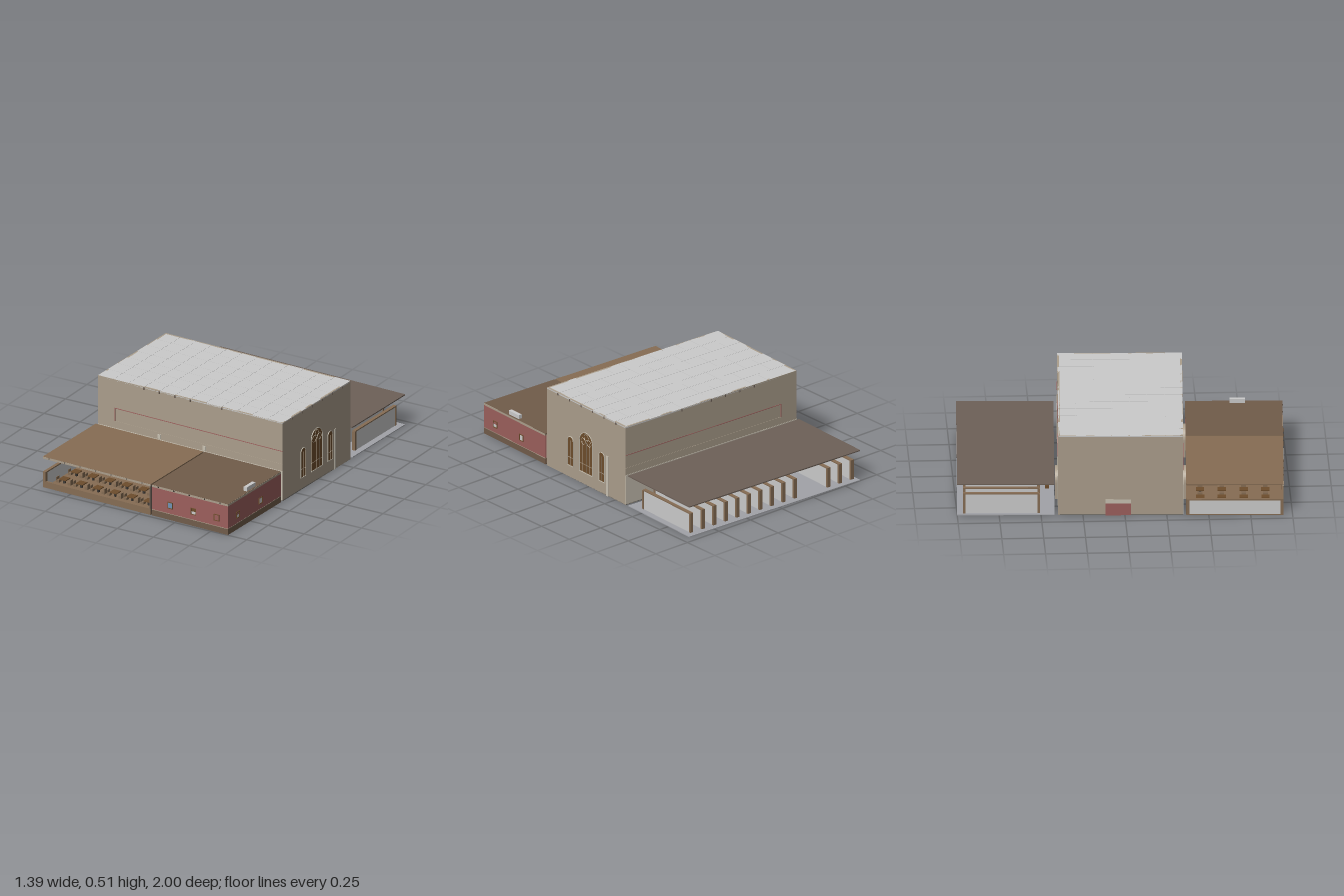
import * as THREE from 'three';

const C = {
  stone: 0xab9e8c, pale: 0xc8c1b2, red: 0x9c5f5c, brown: 0x866d54, darkBrown: 0x715c4a,
  slate: 0x6e6158, grey: 0xcccccc, wood: 0x6e4d2c, dark: 0x3f3a35, floor: 0x77736c, blue: 0x6f93b5,
};
const mats = {};
const mat = (c) => (mats[c] ??= new THREE.MeshStandardMaterial({ color: c, side: THREE.DoubleSide, flatShading: true }));

function add(parent, name, geo, color, x = 0, y = 0, z = 0) {
  const m = new THREE.Mesh(geo, mat(color));
  m.name = name;
  m.position.set(x, y, z);
  parent.add(m);
  return m;
}

// Box given by its lower and upper corners
function box(parent, name, color, x0, x1, y0, y1, z0, z1) {
  return add(parent, name, new THREE.BoxGeometry(x1 - x0, y1 - y0, z1 - z0), color,
    (x0 + x1) / 2, (y0 + y1) / 2, (z0 + z1) / 2);
}

// Round-headed outline standing on y0, centred on cx
function arch(P, cx, w, y0, top) {
  const r = w / 2, p = new P();
  p.moveTo(cx - r, y0);
  p.lineTo(cx + r, y0);
  p.lineTo(cx + r, top - r);
  p.absarc(cx, top - r, r, 0, Math.PI, false);
  p.lineTo(cx - r, y0);
  return p;
}

function rect(P, x0, x1, y0, y1) {
  const p = new P();
  p.moveTo(x0, y0);
  p.lineTo(x1, y0);
  p.lineTo(x1, y1);
  p.lineTo(x0, y1);
  p.closePath();
  return p;
}

const extrude = (shape, depth) => new THREE.ExtrudeGeometry(shape, { depth, bevelEnabled: false, curveSegments: 14 });

function group(parent, name) {
  const g = new THREE.Group();
  g.name = name;
  parent.add(g);
  return g;
}

// Tall hall with arched doors, roof panels and an arched window wall
function buildHall(root) {
  const g = group(root, 'hall');
  const X = 0.656, Z = 0.373, H = 0.51, T = 0.012;
  box(g, 'hallFloor', C.floor, -X, X, 0, 0.006, -Z, Z);
  box(g, 'hallRoof', C.grey, -X, X, H - 0.008, H - 0.001, -Z, Z);
  const nx = 12, nz = 7, px = 2 * X / nx, pz = 2 * Z / nz;
  for (let i = 0; i < nx; i++) for (let j = 0; j < nz; j++) {
    box(g, 'roofPanel', C.grey, -X + i * px + 0.001, -X + (i + 1) * px - 0.001, H - 0.002, H,
      -Z + j * pz + 0.001, -Z + (j + 1) * pz - 0.001);
  }

  // Long walls: s = 1 front, s = -1 back
  for (const s of [1, -1]) {
    const doors = s > 0 ? [-0.33, 0.325] : [-0.325];
    const wall = rect(THREE.Shape, -X, X, 0, H);
    const lower = rect(THREE.Shape, -X, X, 0.006, 0.195);
    for (const d of doors) {
      wall.holes.push(arch(THREE.Path, d, 0.14, 0.006, 0.175));
      lower.holes.push(arch(THREE.Path, d, 0.14, 0.0065, 0.175));
      const ring = arch(THREE.Shape, d, 0.156, 0, 0.183);
      ring.holes.push(arch(THREE.Path, d, 0.136, 0.006, 0.173));
      add(g, 'doorPassage', extrude(ring, 0.018), C.stone, 0, 0, s > 0 ? Z : -Z - 0.018);
    }
    add(g, 'longWall', extrude(wall, T), C.stone, 0, 0, s > 0 ? Z - T : -Z);
    add(g, 'lowerWall', extrude(lower, 0.002), C.pale, 0, 0, s > 0 ? Z : -Z - 0.002);
    // Thin string lines framing the upper wall
    const a = s * Z - 0.002, b = s * Z + 0.002;
    box(g, 'stringLine', C.red, -0.535, X, 0.322, 0.326, a, b);
    box(g, 'stringLine', C.stone, -0.535, X, 0.238, 0.241, a, b);
    box(g, 'stringLine', C.red, -0.537, -0.533, 0.24, 0.326, a, b);
    for (const x of [-0.33, -0.22, -0.11, 0, 0.225])
      box(g, 'beamEnd', C.slate, x - 0.004, x + 0.004, H - 0.018, H - 0.002, a, b);
  }
  for (const x of [-0.22, 0.1]) box(g, 'wallLight', C.pale, x - 0.012, x + 0.012, 0.2, 0.228, Z, Z + 0.004);

  // End walls
  box(g, 'rightEndWall', C.stone, X - T, X, 0, H, -Z, Z);
  box(g, 'leftEndWall', C.stone, -X, -X + T, 0, H, -Z, Z);
  box(g, 'sideDoor', C.red, -X - 0.004, -X, 0, 0.075, -0.09, 0.06);
  box(g, 'sideDoorHead', C.pale, -X - 0.004, -X, 0.075, 0.1, -0.09, 0.06);
  box(g, 'pilaster', C.pale, X, X + 0.004, 0, 0.26, -0.21, -0.19);
  for (let i = 0; i < 6; i++) {
    const z = -0.28 + i * 0.11;
    box(g, 'beamEnd', C.slate, X, X + 0.002, H - 0.016, H - 0.002, z - 0.004, z + 0.004);
  }

  // Arched windows, built facing +z and turned to face +x
  const win = group(g, 'archedWindows');
  win.position.x = X;
  win.rotation.y = Math.PI / 2;
  for (const [cx, w, top] of [[0, 0.125, 0.342], [-0.148, 0.055, 0.268], [0.148, 0.055, 0.268]]) {
    const y0 = 0.075, frame = arch(THREE.Shape, cx, w, y0, top);
    frame.holes.push(arch(THREE.Path, cx, w - 0.007, y0 + 0.004, top - 0.0035));
    add(win, 'windowPane', extrude(arch(THREE.Shape, cx, w - 0.005, y0, top - 0.003), 0.001), C.wood);
    add(win, 'windowFrame', extrude(frame, 0.004), C.pale);
    const spring = top - w / 2, n = w > 0.1 ? 3 : 1;
    for (let i = 1; i <= n; i++) {
      const x = cx - w / 2 + w * i / (n + 1);
      box(win, 'mullion', C.stone, x - 0.001, x + 0.001, y0, spring, 0, 0.003);
    }
    box(win, 'transom', C.stone, cx - w / 2, cx + w / 2, y0 + 0.055, y0 + 0.057, 0, 0.003);
    if (n === 3) {
      for (const [x, y] of [[-0.028, 0], [0.028, 0], [0, 0.032]])
        add(win, 'tracery', new THREE.TorusGeometry(0.02, 0.0015, 4, 20), C.pale, cx + x, spring + y, 0.002);
    }
  }
}

// Thin roof with a pale fascia and small beam ends
function lowRoof(g, color, x0, x1, z0, z1) {
  box(g, 'roof', color, x0, x1, 0.192, 0.2, z0, z1);
  box(g, 'fascia', C.stone, x0, x1, 0.186, 0.199, z1 - 0.008, z1 + 0.001);
  for (let x = x0 + 0.045; x < x1; x += 0.11)
    box(g, 'beamEnd', C.dark, x - 0.004, x + 0.004, 0.191, 0.198, z1, z1 + 0.003);
}

// Open dining terrace at the front
function buildTerrace(root) {
  const g = group(root, 'terrace');
  const x0 = -0.66, x1 = 0.106, z0 = 0.391, z1 = 0.972;
  box(g, 'terraceFloor', C.brown, x0, x1, 0, 0.006, z0, z1);
  lowRoof(g, C.brown, x0, x1, z0, z1);
  box(g, 'frontCurb', C.brown, x0, x1, 0, 0.04, z1 - 0.012, z1);
  box(g, 'partition', C.slate, x1 - 0.01, x1, 0, 0.19, z0, z1);
  box(g, 'sideWall', C.grey, x0, x0 + 0.018, 0.006, 0.094, z0 + 0.02, z1 - 0.02);
  box(g, 'sideWallCap', C.brown, x0, x0 + 0.02, 0.094, 0.102, z0, z1);
  for (const z of [z0, z1 - 0.02]) box(g, 'sideWallPost', C.brown, x0, x0 + 0.02, 0, 0.094, z, z + 0.02);
  // Tables with a bench on either side
  for (let i = 0; i < 6; i++) for (let j = 0; j < 4; j++) {
    const t = group(g, 'tableSet');
    t.position.set(-0.575 + i * 0.12, 0.006, 0.475 + j * 0.13);
    box(t, 'tableTop', C.wood, -0.025, 0.025, 0.027, 0.032, -0.025, 0.025);
    box(t, 'tableLeg', C.dark, -0.006, 0.006, 0, 0.027, -0.006, 0.006);
    for (const s of [-1, 1]) {
      box(t, 'seat', C.brown, s * 0.04 - 0.009, s * 0.04 + 0.009, 0, 0.016, -0.014, 0.014);
      box(t, 'seatBack', C.brown, s * 0.049 - 0.002, s * 0.049 + 0.002, 0, 0.034, -0.014, 0.014);
    }
  }
}

// Small framed window; facing +z at its own origin
function smallWindow(parent, x, y, z, turn, upper, lower) {
  const w = group(parent, 'smallWindow');
  w.position.set(x, y, z);
  w.rotation.y = turn;
  const f = rect(THREE.Shape, -0.019, 0.019, -0.021, 0.021);
  f.holes.push(rect(THREE.Path, -0.015, 0.015, -0.017, 0.017));
  add(w, 'windowFrame', extrude(f, 0.004), C.wood);
  box(w, 'upperPane', upper, -0.015, 0.015, 0, 0.017, 0, 0.001);
  box(w, 'lowerPane', lower, -0.015, 0.015, -0.017, 0, 0, 0.001);
}

// Closed red room at the front
function buildRedRoom(root) {
  const g = group(root, 'redRoom');
  const x0 = 0.115, x1 = 0.655, z0 = 0.391, z1 = 0.972, T = 0.01;
  box(g, 'roomFloor', C.darkBrown, x0, x1, 0, 0.006, z0, z1);
  lowRoof(g, C.darkBrown, x0, x1, z0, z1);
  for (const [n, a, b, c, d] of [['frontWall', x0, x1, z1 - T, z1], ['rightWall', x1 - T, x1, z0, z1],
    ['leftWall', x0, x0 + T, z0, z1]]) {
    box(g, n, C.red, a, b, 0.04, 0.19, c, d);
    box(g, n + 'Base', C.darkBrown, a, b, 0, 0.04, c, d);
  }
  box(g, 'sideFascia', C.stone, x1 - 0.008, x1 + 0.001, 0.186, 0.199, z0, z1);
  box(g, 'baseTrim', C.stone, x0, x1 + 0.001, 0.038, 0.041, z0, z1 + 0.001);
  smallWindow(g, 0.245, 0.095, z1, 0, C.blue, C.blue);
  smallWindow(g, 0.41, 0.095, z1, 0, C.wood, C.grey);
  smallWindow(g, 0.575, 0.095, z1, 0, C.red, C.red);
  smallWindow(g, x1, 0.095, 0.865, Math.PI / 2, C.red, C.grey);
  smallWindow(g, x1, 0.095, 0.615, Math.PI / 2, C.grey, C.grey);
  box(g, 'roofVent', C.grey, 0.622, 0.645, 0.2, 0.225, 0.655, 0.75);
}

// Open shelter at the back with a row of stall partitions
function buildStalls(root) {
  const g = group(root, 'stalls');
  box(g, 'stallFloor', 0xa2a3a8, -0.656, 0.655, 0, 0.005, -0.976, -0.395);
  box(g, 'stallRoof', C.slate, -0.656, 0.655, 0.194, 0.201, -0.976, -0.395);
  const xs = [-0.625, -0.535, -0.445];
  for (let i = 0; i < 10; i++) xs.push(-0.19 + i * 0.0885);
  for (const x of xs) {
    box(g, 'partition', C.grey, x - 0.009, x + 0.009, 0.005, 0.125, -0.925, -0.495);
    box(g, 'partitionCap', C.brown, x - 0.011, x + 0.011, 0.125, 0.132, -0.94, -0.488);
    for (const z of [-0.94, -0.497]) box(g, 'partitionPost', C.brown, x - 0.011, x + 0.011, 0.005, 0.125, z, z + 0.015);
  }
  // Hanging lamp and a low step by the door
  const l = group(g, 'hangingLamp');
  l.position.set(-0.325, 0.12, -0.435);
  add(l, 'lampRod', new THREE.CylinderGeometry(0.0015, 0.0015, 0.075, 6), C.dark, 0, 0.037, 0);
  add(l, 'lampRing', new THREE.TorusGeometry(0.03, 0.002, 5, 20), C.dark).rotation.x = Math.PI / 2;
  box(l, 'lampArm', C.dark, -0.03, 0.03, -0.0015, 0.0015, -0.0015, 0.0015);
  for (let i = 0; i < 6; i++) {
    const a = i * Math.PI / 3;
    add(l, 'lampCup', new THREE.CylinderGeometry(0.005, 0.003, 0.012, 6), C.dark, 0.03 * Math.cos(a), 0.003, 0.03 * Math.sin(a));
  }
  box(g, 'lowBox', C.wood, -0.25, -0.22, 0.005, 0.026, -0.45, -0.425);
}

export function createModel() {
  const model = new THREE.Group();
  model.name = 'buildingComplex';
  const site = group(model, 'site');
  site.rotation.y = -0.038;
  buildHall(site);
  buildTerrace(site);
  buildRedRoom(site);
  buildStalls(site);
  return model;
}
